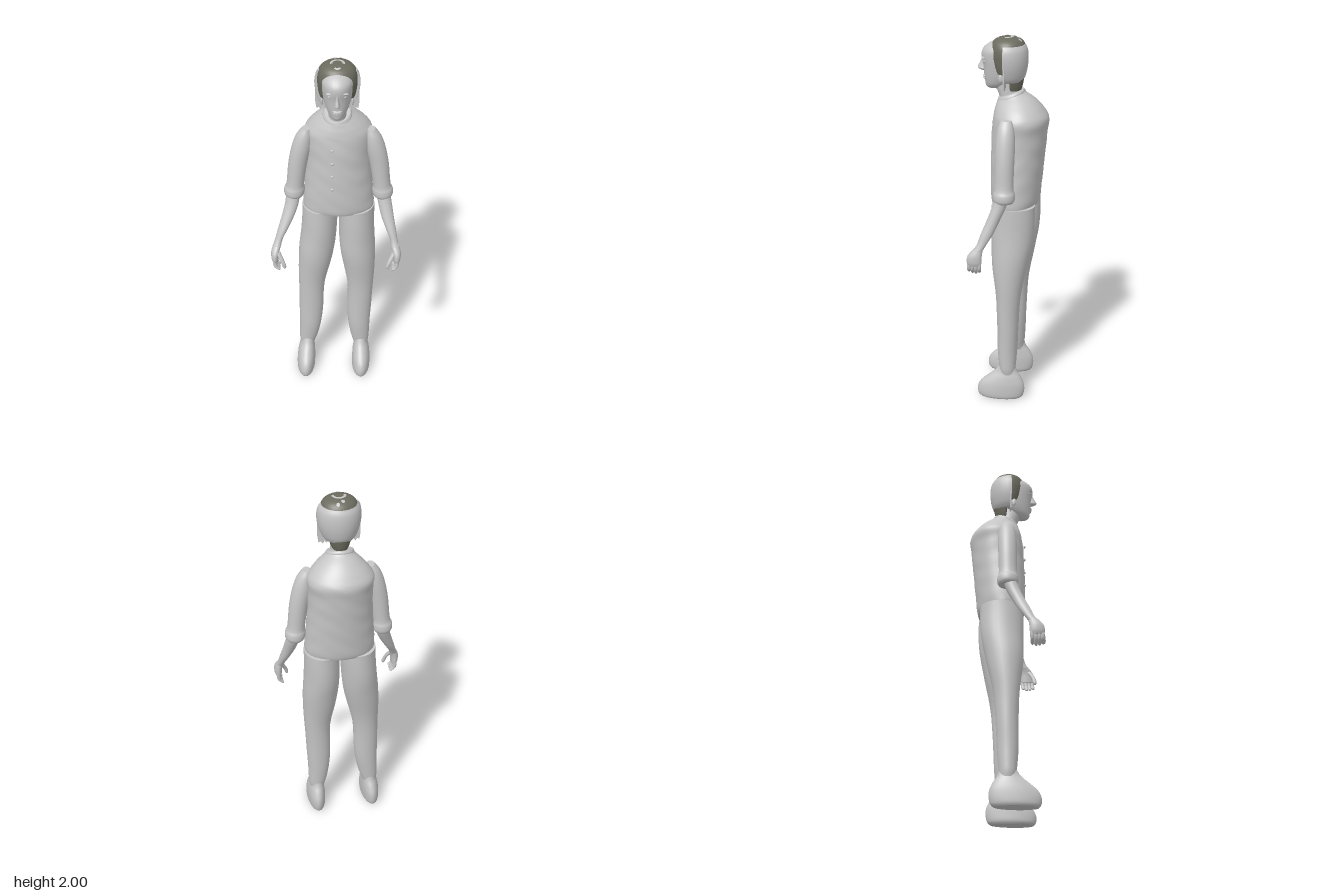
import * as THREE from 'three';

const pale = new THREE.MeshStandardMaterial({ color: 0xc6c6c6, side: THREE.DoubleSide });
pale.name = 'pale grey';
const dark = new THREE.MeshStandardMaterial({ color: 0x6c6c60, side: THREE.DoubleSide });
dark.name = 'dark hair';

// Catmull-Rom resampling of ring rows, so a few rows give a smooth body
function resample(rows, n) {
  const out = [];
  for (let i = 0; i < rows.length - 1; i++) {
    const [a, b, c, d] = [rows[Math.max(i - 1, 0)], rows[i], rows[i + 1], rows[Math.min(i + 2, rows.length - 1)]];
    for (let k = 0; k < n; k++) {
      const t = k / n;
      out.push(b.map((v, j) => v + 0.5 * t * (c[j] - a[j] +
        t * (2 * a[j] - 5 * v + 4 * c[j] - d[j] + t * (3 * (v - c[j]) + d[j] - a[j])))));
    }
  }
  out.push(rows[rows.length - 1]);
  return out;
}

// Rows run upwards: [y, centre x, half width, centre z, front z, back z, tilt]
function loft(name, rows, { mat = pale, side = 1, shift = () => 0, ripple = () => 0, seg = 28, n = 4 } = {}) {
  const rings = resample(rows.map(r => [...r, 0].slice(0, 7)), n);
  const pos = [], idx = [];
  const addRing = ([y, cx, rx, cz, zf, zb, tilt]) => {
    for (let j = 0; j < seg; j++) {
      const a = (j / seg) * Math.PI * 2, c = Math.cos(a), k = 1 + ripple(a, y);
      const z = cz + c * k * (c > 0 ? zf - cz : cz - zb);
      pos.push(side * cx + shift(y) + Math.sin(a) * rx * k, y + tilt * z, z);
    }
  };
  rings.forEach(addRing);
  for (let i = 0; i < rings.length - 1; i++) for (let j = 0; j < seg; j++) {
    const a = i * seg + j, b = i * seg + (j + 1) % seg;
    idx.push(a, b, a + seg, b, b + seg, a + seg);
  }
  // End caps with their own vertices keep the rims crisp
  [[rings[0], false], [rings[rings.length - 1], true]].forEach(([r, top]) => {
    const start = pos.length / 3;
    addRing(r);
    const zc = (r[4] + r[5]) / 2;
    pos.push(side * r[1] + shift(r[0]), r[0] + r[6] * zc, zc);
    for (let j = 0; j < seg; j++) {
      const a = start + j, b = start + (j + 1) % seg;
      idx.push(start + seg, top ? a : b, top ? b : a);
    }
  });
  const g = new THREE.BufferGeometry();
  g.setAttribute('position', new THREE.Float32BufferAttribute(pos, 3));
  g.setIndex(idx);
  g.computeVertexNormals();
  const mesh = new THREE.Mesh(g, mat);
  mesh.name = name;
  return mesh;
}

function blob(name, x, y, z, sx, sy, sz, mat = pale) {
  const m = new THREE.Mesh(new THREE.SphereGeometry(1, 18, 12), mat);
  m.position.set(x, y, z);
  m.scale.set(sx, sy, sz);
  m.name = name;
  return m;
}

function makeArm(side) {
  const arm = new THREE.Group();
  arm.name = side > 0 ? 'leftArm' : 'rightArm';
  const shift = y => 0.012 * THREE.MathUtils.clamp((y - 0.95) / 0.2, 0, 1);
  const o = { side, shift };
  arm.add(loft('sleeve', [
    [1.195, .232, .044, 0, .046, -.048], [1.21, .232, .053, 0, .056, -.056],
    [1.24, .230, .054, 0, .056, -.056], [1.275, .225, .046, 0, .05, -.048],
    [1.40, .210, .049, 0, .05, -.05], [1.50, .190, .050, 0, .05, -.05],
    [1.57, .175, .040, 0, .042, -.042], [1.61, .165, .020, 0, .028, -.028]], o));
  arm.add(loft('forearm', [
    [.945, .314, .022, .125, .15, .10], [.98, .304, .020, .105, .13, .08],
    [1.03, .286, .026, .083, .113, .05], [1.10, .261, .033, .053, .085, .018],
    [1.17, .243, .036, .025, .06, -.012], [1.23, .236, .036, .01, .043, -.028]], o));
  arm.add(loft('palm', [
    [.865, .322, .016, .142, .176, .108], [.885, .324, .020, .142, .182, .104],
    [.92, .322, .022, .138, .176, .102], [.955, .312, .021, .122, .148, .098]], o));
  for (let i = 0; i < 4; i++) {
    const z = .114 + i * .018, low = .81 + Math.abs(i - 1.3) * .006;
    arm.add(loft('finger', [
      [low, .302, .004, z + .006, z + .010, z + .002], [low + .008, .306, .009, z + .005, z + .014, z - .004],
      [.845, .322, .010, z + .003, z + .013, z - .007], [.885, .326, .010, z, z + .010, z - .010]], { ...o, seg: 12 }));
  }
  arm.add(loft('thumb', [
    [.838, .272, .005, .180, .186, .174], [.85, .274, .010, .180, .190, .169],
    [.88, .284, .011, .174, .186, .162], [.925, .308, .013, .152, .168, .138]], { ...o, seg: 12 }));
  return arm;
}

function makeLeg(side) {
  const leg = new THREE.Group();
  leg.name = side > 0 ? 'leftLeg' : 'rightLeg';
  const shift = y => -0.016 + 0.028 * Math.min(y / 1.1, 1);
  const o = { side, shift };
  leg.add(loft('trouserLeg', [
    [.15, .152, .040, .002, .042, -.040], [.18, .150, .047, .003, .046, -.043],
    [.22, .145, .053, .003, .050, -.046], [.30, .138, .061, .003, .056, -.051],
    [.40, .135, .066, 0, .058, -.056], [.60, .134, .072, 0, .063, -.068],
    [.80, .115, .094, -.01, .086, -.105], [.95, .102, .095, -.02, .091, -.134],
    [1.13, .095, .095, -.025, .090, -.140]],
  { ...o, ripple: (a, y) => .008 * Math.sin(26 * y + 2 * a) }));
  leg.add(loft('shoe', [
    [0, .158, .043, .05, .155, -.07], [.015, .158, .050, .05, .166, -.085],
    [.05, .158, .051, .045, .168, -.093], [.09, .157, .049, .03, .150, -.09],
    [.13, .155, .043, .015, .105, -.072], [.165, .152, .036, .005, .066, -.05],
    [.21, .150, .034, 0, .040, -.038]], o));
  return leg;
}

function makeHead() {
  const head = new THREE.Group();
  head.name = 'head';
  const cx = .006;
  head.add(loft('neck', [
    [1.63, cx, .058, .0, .062, -.06], [1.69, cx, .046, .015, .064, -.042],
    [1.75, cx, .045, .03, .085, -.032], [1.80, cx, .045, .03, .09, -.04]]));
  head.add(loft('face', [
    [1.733, cx, .020, .085, .122, .05], [1.745, cx, .035, .075, .134, .03],
    [1.765, cx, .050, .06, .138, .0], [1.80, cx, .065, .04, .143, -.04],
    [1.85, cx, .075, .04, .147, -.06], [1.90, cx, .080, .04, .156, -.07],
    [1.935, cx, .078, .04, .150, -.07], [1.965, cx, .060, .035, .118, -.05],
    [1.985, cx, .030, .03, .07, -.02]]));
  // Features
  head.add(loft('nose', [
    [1.822, cx, .008, .14, .152, .12], [1.832, cx, .017, .14, .174, .12],
    [1.845, cx, .013, .14, .176, .12], [1.87, cx, .008, .14, .162, .12],
    [1.892, cx, .007, .14, .155, .12]], { seg: 16 }));
  head.add(blob('upperLip', cx, 1.795, .138, .024, .006, .012));
  head.add(blob('lowerLip', cx, 1.784, .135, .020, .006, .012));
  for (const s of [-1, 1]) {
    head.add(blob('eye', cx + s * .032, 1.877, .132, .014, .008, .011));
    const brow = blob('brow', cx + s * .034, 1.897, .138, .022, .005, .010);
    brow.rotation.z = -s * .15;
    head.add(brow);
    head.add(blob('earLobe', cx + s * .076, 1.80, .045, .006, .022, .012));
    // Loose side lock with a ragged end
    const lock = new THREE.Shape([[.052, 1.75], [.066, 1.742], [.072, 1.755], [.083, 1.738], [.092, 1.752],
      [.104, 1.747], [.11, 1.79], [.108, 1.88], [.07, 1.88]].map(p => new THREE.Vector2(cx + s * p[0], p[1])));
    const m = new THREE.Mesh(new THREE.ExtrudeGeometry(lock, { depth: .006, bevelEnabled: false }), pale);
    m.position.z = .022;
    m.name = 'sideLock';
    head.add(m);
  }
  // Dark hair: rounded dome with sides that frame the face
  const domeY = r => 1.9 + .1 * Math.cbrt(1 - Math.min(r, 1) ** 3);
  const dome = [[1.82, cx, .088, .02, .085, -.05], [1.85, cx, .095, .02, .098, -.065]];
  for (let i = 0; i <= 12; i++) {
    const r = Math.max(Math.cos(i / 12 * Math.PI / 2), .001) ** (2 / 3);
    dome.push([domeY(r), cx, .1 * r, .018, .018 + .094 * r, .018 - .094 * r]);
  }
  head.add(loft('hair', dome, { mat: dark, n: 2, seg: 36 }));
  head.add(loft('napeHair', [
    [1.725, cx, .040, .0, .01, -.048], [1.75, cx, .050, .0, .01, -.056],
    [1.80, cx, .065, .0, .01, -.066]], { mat: dark }));
  // Pale back shell, flat where it meets the dark hair
  head.add(loft('backHair', [
    [1.775, cx, .078, .03, .03, -.055], [1.80, cx, .093, .03, .03, -.07],
    [1.85, cx, .108, .03, .03, -.082], [1.90, cx, .113, .03, .03, -.085],
    [1.94, cx, .108, .03, .03, -.08], [1.965, cx, .095, .03, .03, -.068]]));
  // Pale patches lying on the crown
  const patch = (inner, outer, start, len, x, z) => {
    const g = new THREE.RingGeometry(inner, outer, 24, 3, start, len).rotateX(-Math.PI / 2).translate(x, 0, z);
    const p = g.attributes.position;
    for (let i = 0; i < p.count; i++) {
      const r = Math.hypot((p.getX(i) - cx) / .1, (p.getZ(i) - .018) / .094);
      p.setY(i, domeY(r) + .002);
    }
    g.computeVertexNormals();
    const m = new THREE.Mesh(g, pale);
    m.name = 'crownPatch';
    head.add(m);
  };
  patch(.024, .037, -.15, Math.PI + .3, cx, .028);
  patch(.012, .022, Math.PI + .7, 1.9, cx, .055);
  patch(0, .010, 0, Math.PI * 2, -.005, -.03);
  patch(0, .009, 0, Math.PI * 2, .022, -.045);
  return head;
}

export function createModel() {
  const model = new THREE.Group();
  model.name = 'standingFigure';
  const cx = .012;
  model.add(loft('shirt', [
    [1.122, cx, .184, -.02, .098, -.142], [1.16, cx, .186, -.02, .106, -.152],
    [1.30, cx, .176, -.03, .108, -.166], [1.42, cx, .168, -.04, .105, -.178],
    [1.52, cx, .168, -.045, .101, -.188], [1.585, cx, .172, -.05, .094, -.193],
    [1.63, cx, .145, -.05, .086, -.168], [1.665, .01, .108, -.03, .078, -.125, -.1],
    [1.69, .008, .078, -.01, .074, -.08, -.25], [1.705, .006, .066, 0, .070, -.062, -.35]],
  { seg: 48, n: 6, ripple: (a, y) => y < 1.6 ? .008 * Math.sin(55 * y + 3 * Math.sin(2 * a)) * Math.sin(3 * a + 9 * y) : 0 }));
  // Standing collar, higher at the back
  model.add(loft('collar', [
    [1.685, .006, .074, 0, .074, -.068, -.35], [1.70, .006, .073, 0, .073, -.069, -.35],
    [1.712, .006, .066, 0, .068, -.062, -.35]]));
  for (let i = 0; i < 4; i++) model.add(blob('button', -.02, 1.30 + i * .08, .105, .008, .008, .006));
  for (const side of [-1, 1]) model.add(makeArm(side), makeLeg(side));
  model.add(makeHead());
  return model;
}
